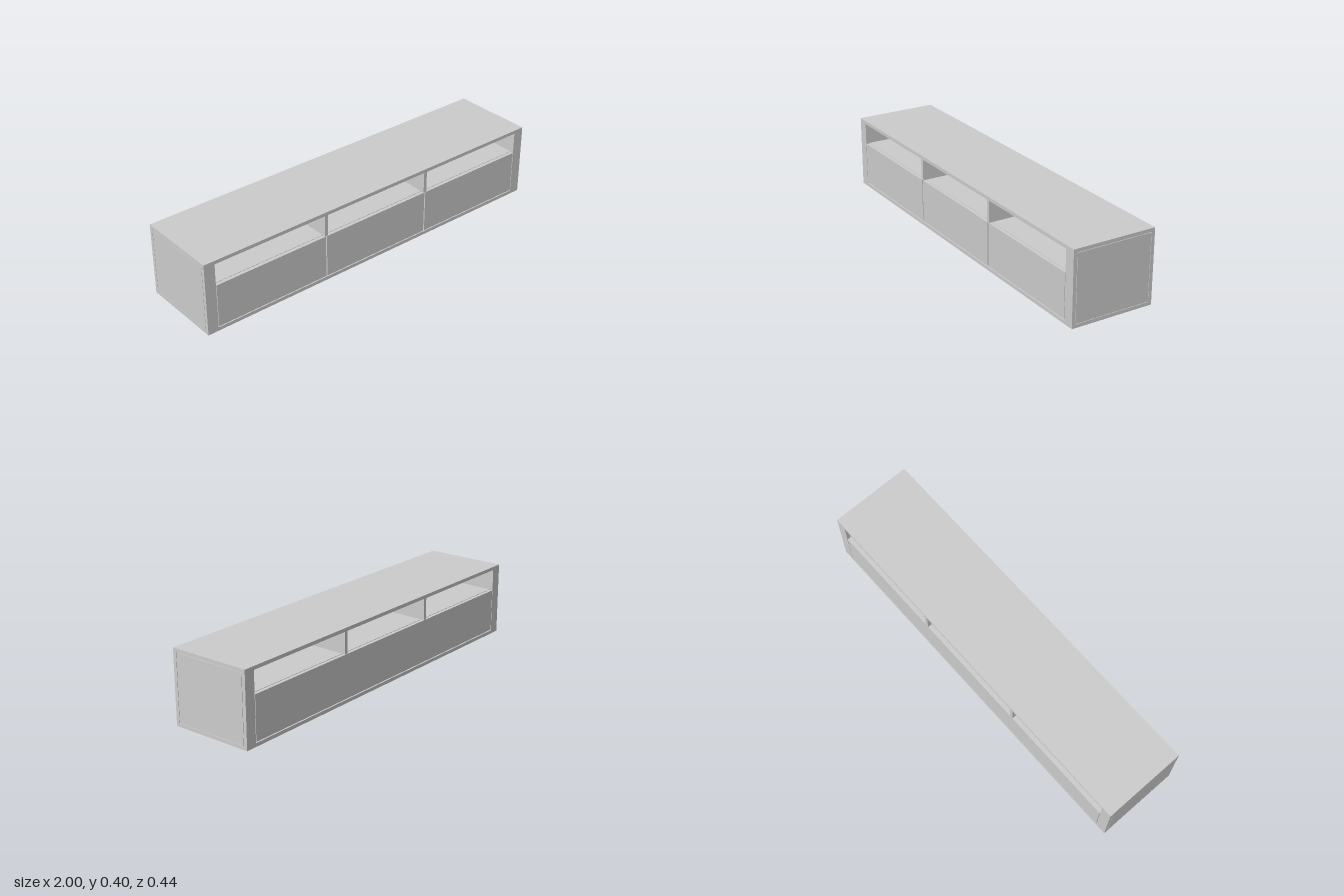
import * as THREE from 'three';

const material = new THREE.MeshStandardMaterial({ color: 0xcccccc });

// Box given by its min/max extents on each axis
function panel(parent, name, [x0, x1], [y0, y1], [z0, z1]) {
  const mesh = new THREE.Mesh(new THREE.BoxGeometry(x1 - x0, y1 - y0, z1 - z0), material);
  mesh.position.set((x0 + x1) / 2, (y0 + y1) / 2, (z0 + z1) / 2);
  mesh.name = name;
  parent.add(mesh);
  return mesh;
}

// Extents mirrored to the chosen side of zero
const side = (s, a, b) => (s > 0 ? [a, b] : [-b, -a]);

export function createModel() {
  const group = new THREE.Group();
  group.name = 'mediaConsole';

  const D = 0.218;      // half depth
  const T = 0.018;      // board thickness
  const zi = D - T;     // inner half depth
  const y0 = 0.038, y1 = 0.382; // between bottom and top boards
  const xi = 0.943;     // inner half width
  const shelfY = 0.27;
  const gap = 0.002;

  // Top and bottom boards
  panel(group, 'topBoard', [-1, 1], [y1, 0.4], [-D, D]);
  panel(group, 'bottomBoard', [-1, 1], [0.02, y0], [-D, D]);

  for (const s of [1, -1]) {
    const end = s > 0 ? 'left' : 'right';
    // Double-walled ends capped by upright strips
    panel(group, end + 'OuterPanel', side(s, 1 - T, 1), [y0 + gap, y1 - gap], [-zi + gap, zi - gap]);
    panel(group, end + 'InnerPanel', side(s, xi, xi + T), [y0, y1], [-zi, zi]);
    for (const f of [1, -1]) {
      panel(group, end + (f > 0 ? 'Front' : 'Back') + 'Upright', side(s, xi, 1), [y0, y1], side(f, zi, D));
    }
    // Dividers in the open compartment, and the carcass walls below
    const c = s * xi / 3;
    panel(group, end + 'UpperDivider', [c - T / 2, c + T / 2], [shelfY, y1], [-D, D]);
    panel(group, end + 'LowerDivider', [c - T / 2, c + T / 2], [y0, shelfY - T], [-zi, zi]);
  }

  // Shelf under the open compartments
  panel(group, 'shelf', [-xi, xi], [shelfY - T, shelfY], [-zi, zi]);

  // Three drawer fronts with shadow gaps
  const w = 2 * xi / 3;
  for (let i = 0; i < 3; i++) {
    const x = -xi + i * w;
    panel(group, 'drawerFront', [x + 0.003, x + w - 0.003], [y0 + 0.005, shelfY - gap], [zi, D]);
  }

  // One-piece back panel
  panel(group, 'backPanel', [-xi + 0.003, xi - 0.003], [y0 + 0.005, shelfY - gap], [-D, -zi]);

  // Recessed hollow plinth
  const px = 0.95, pz = 0.185, pt = 0.009;
  for (const s of [1, -1]) {
    panel(group, s > 0 ? 'frontPlinth' : 'backPlinth', [-px, px], [0, 0.02], side(s, pz - pt, pz));
    panel(group, s > 0 ? 'leftPlinth' : 'rightPlinth', side(s, px - pt, px), [0, 0.02], [-pz + pt, pz - pt]);
  }

  return group;
}
